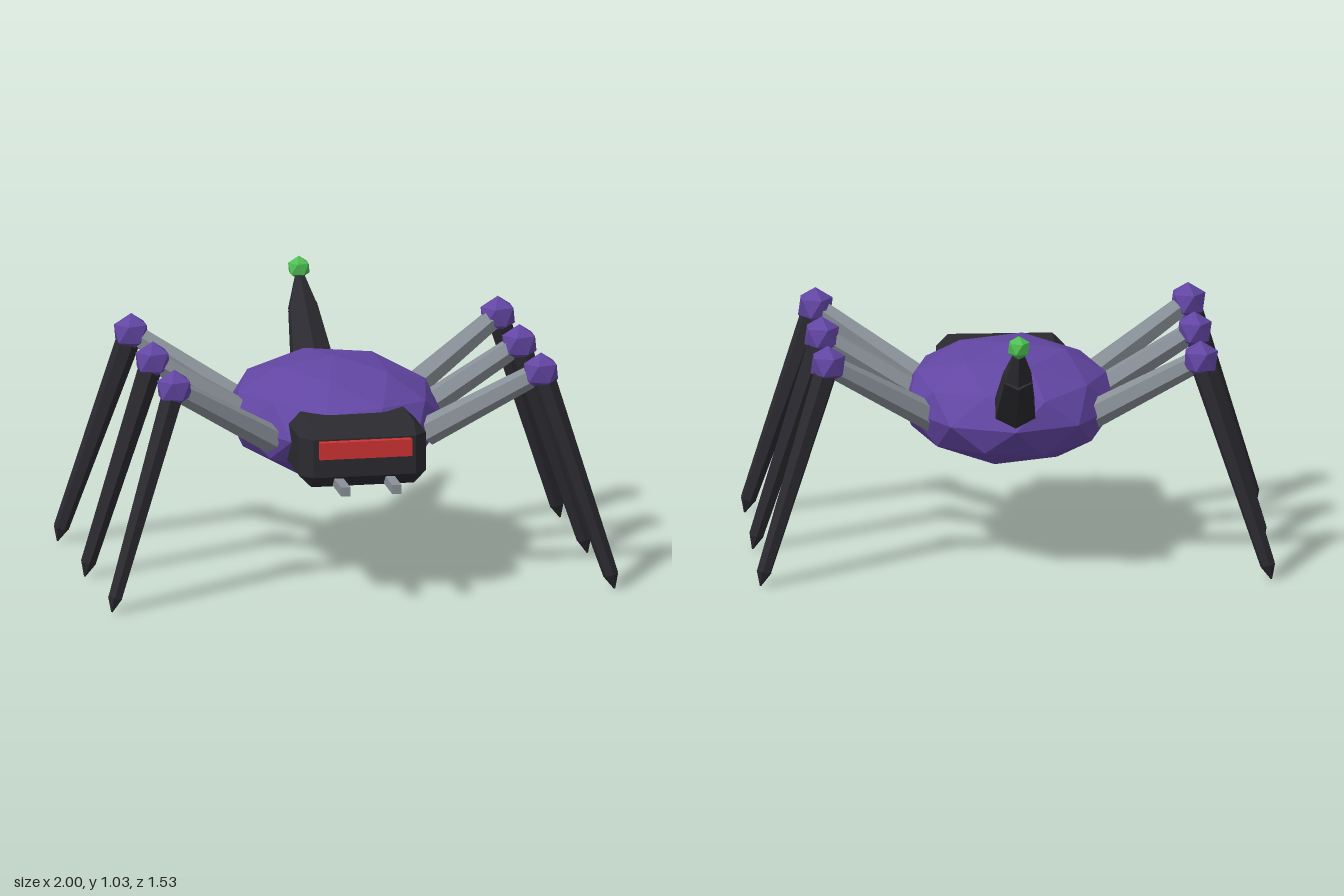
import * as THREE from 'three';
import { ConvexGeometry } from 'three/addons/geometries/ConvexGeometry.js';

const mat = (name, color) => {
  const m = new THREE.MeshStandardMaterial({ color, flatShading: true });
  m.name = name;
  return m;
};

export function createModel() {
  const purple = mat('purple shell', 0x6246a3);
  const dark = mat('dark metal', 0x2a2a30);
  const grey = mat('grey metal', 0x889097);
  const red = mat('red visor', 0xd03333);
  const green = mat('green glow', 0x4fc054);

  const model = new THREE.Group();
  const V = (x, y, z) => new THREE.Vector3(x, y, z);
  const add = (name, geometry, material, parent = model) => {
    const mesh = new THREE.Mesh(geometry, material);
    mesh.name = name;
    parent.add(mesh);
    return mesh;
  };

  // Icosahedral ball standing on one of its vertices
  const ball = (radius, detail = 0) =>
    new THREE.IcosahedronGeometry(radius, detail).rotateZ(Math.atan(2 / (1 + Math.sqrt(5))));

  // Six-sided tapered rod from a to b
  const rod = (a, b, ra, rb) => {
    const dir = b.clone().sub(a);
    const q = new THREE.Quaternion().setFromUnitVectors(V(0, 1, 0), dir.clone().normalize());
    const mid = a.clone().add(b).multiplyScalar(0.5);
    return new THREE.CylinderGeometry(rb, ra, dir.length(), 6)
      .applyQuaternion(q)
      .translate(mid.x, mid.y, mid.z);
  };

  // Box with every edge cut off at 45 degrees
  const chamferBox = (w, h, d, c) => {
    const points = [];
    for (const sx of [-1, 1]) for (const sy of [-1, 1]) for (const sz of [-1, 1]) {
      const x = w / 2, y = h / 2, z = d / 2;
      points.push(
        V(sx * x, sy * (y - c), sz * (z - c)),
        V(sx * (x - c), sy * y, sz * (z - c)),
        V(sx * (x - c), sy * (y - c), sz * z)
      );
    }
    return new ConvexGeometry(points);
  };

  // Body
  add('body', ball(1, 1).scale(0.42, 0.225, 0.53), purple).position.set(0, 0.6, 0);

  // Head with visor and mandibles
  add('head', chamferBox(0.495, 0.245, 0.405, 0.047), dark).position.set(0, 0.5825, 0.4325);
  add('visor', new THREE.BoxGeometry(0.36, 0.067, 0.05), red).position.set(0, 0.618, 0.638);
  for (const s of [-1, 1]) {
    add(s > 0 ? 'leftMandible' : 'rightMandible', new THREE.BoxGeometry(0.036, 0.036, 0.2), grey)
      .position.set(s * 0.1, 0.482, 0.668);
  }

  // Three pairs of legs spread around z = 0.04
  const rows = [['front', 1], ['middle', 0], ['rear', -1]];
  for (const side of [-1, 1]) for (const [row, k] of rows) {
    const leg = new THREE.Group();
    leg.name = row + (side > 0 ? 'LeftLeg' : 'RightLeg');
    const hip = V(side * 0.3, 0.585, 0.04 + k * 0.27);
    const knee = V(side * 0.717, 0.85, 0.04 + k * 0.445);
    const ankle = V(side * 0.969, 0.06, 0.04 + k * 0.555);
    const tip = V(side * 0.983, 0.005, 0.04 + k * 0.56);
    add('upperLeg', rod(hip, knee, 0.055, 0.042), grey, leg);
    add('knee', ball(0.075), purple, leg).position.copy(knee);
    add('lowerLeg', rod(knee, ankle, 0.048, 0.03), dark, leg);
    add('foot', rod(ankle, tip, 0.03, 0.003), dark, leg);
    model.add(leg);
  }

  // Tail: thick base, narrowing stinger and glowing tip
  const tailBase = V(0, 0.68, -0.46);
  const tailBend = V(0, 0.855, -0.65);
  const tailEnd = V(0, 0.99, -0.726);
  add('tailBase', rod(tailBase, tailBend, 0.088, 0.06), dark);
  add('tailStinger', rod(tailBend, tailEnd, 0.06, 0.01), dark);
  add('tailTip', ball(0.047), green).position.copy(tailEnd);

  return model;
}
